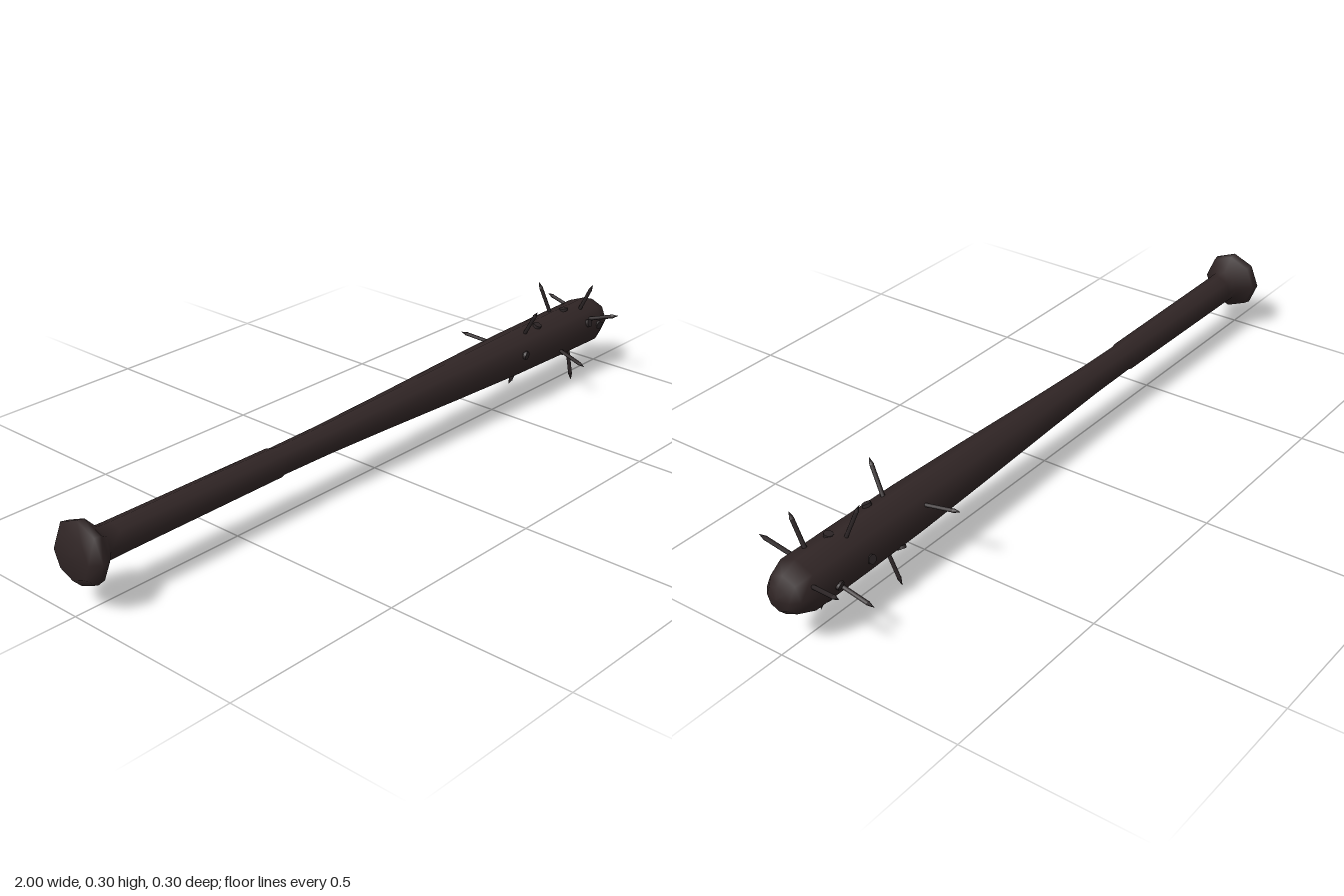
import * as THREE from 'three';

const AXIS_Y = 0.154;

// Bat outline as [position along x, radius]
const PROFILE = [
  [-1.0, 0], [-0.998, 0.06], [-0.975, 0.083], [-0.953, 0.079], [-0.92, 0.044],
  [-0.88, 0.043], [-0.37, 0.041], [-0.36, 0.038], [-0.2, 0.04], [0, 0.046],
  [0.3, 0.057], [0.55, 0.065], [0.75, 0.068], [0.93, 0.069],
  [0.975, 0.052], [0.994, 0.033], [1.0, 0],
];

// Each nail: tip and the point where it leaves the wood, [x, y, z]
const NAILS = [
  [[0.596, 0.291, 0.075], [0.61, 0.223, 0.031]],
  [[0.773, 0.302, -0.052], [0.787, 0.225, -0.025]],
  [[0.874, 0.294, 0.068], [0.874, 0.221, 0.032]],
  [[0.655, 0.014, -0.061], [0.66, 0.088, -0.03]],
  [[0.826, 0.003, 0.041], [0.822, 0.084, 0.029]],
  [[0.537, 0.191, -0.148], [0.548, 0.182, -0.064]],
  [[0.842, 0.1, -0.143], [0.853, 0.129, -0.064]],
  [[0.955, 0.193, -0.147], [0.94, 0.179, -0.062]],
  [[0.735, 0.102, 0.147], [0.745, 0.122, 0.064]],
  [[0.896, 0.2125, 0.147], [0.885, 0.186, 0.064]],
];

export function createModel() {
  const wood = new THREE.MeshStandardMaterial({ color: 0x302525 });
  wood.name = 'darkWood';
  const iron = new THREE.MeshStandardMaterial({ color: 0x2c2526 });
  iron.name = 'darkIron';

  const model = new THREE.Group();
  model.name = 'nailedBat';

  // Eight-sided bat turned around the x axis
  const bat = new THREE.Mesh(
    new THREE.LatheGeometry(PROFILE.map(([x, r]) => new THREE.Vector2(r, x)), 8), wood);
  bat.name = 'bat';
  bat.rotation.z = -Math.PI / 2;
  bat.position.y = AXIS_Y;
  model.add(bat);

  // Nails run right through the barrel: point on one side, head on the other
  const up = new THREE.Vector3(0, 1, 0);
  NAILS.forEach(([tip, base], i) => {
    const end = new THREE.Vector3(...tip);
    const dir = end.clone().sub(new THREE.Vector3(...base)).normalize();

    // Distance back from the tip to the far surface of the barrel
    const y = end.y - AXIS_Y, z = end.z;
    const a = dir.y * dir.y + dir.z * dir.z;
    const b = y * dir.y + z * dir.z;
    const c = y * y + z * z - 0.067 * 0.067;
    const length = (b + Math.sqrt(Math.max(0, b * b - a * c))) / a;

    const nail = new THREE.Group();
    nail.name = `nail${i + 1}`;
    nail.position.copy(end).addScaledVector(dir, -length);
    nail.quaternion.setFromUnitVectors(up, dir);

    const addPart = (name, geometry, height) => {
      const part = new THREE.Mesh(geometry, iron);
      part.name = name;
      part.position.y = height;
      nail.add(part);
    };
    const point = 0.02;
    addPart('nailHead', new THREE.CylinderGeometry(0.012, 0.012, 0.008, 8), 0);
    addPart('nailShaft', new THREE.CylinderGeometry(0.0055, 0.0055, length - point, 6), (length - point) / 2);
    addPart('nailPoint', new THREE.ConeGeometry(0.0062, point, 6), length - point / 2);
    model.add(nail);
  });

  return model;
}
